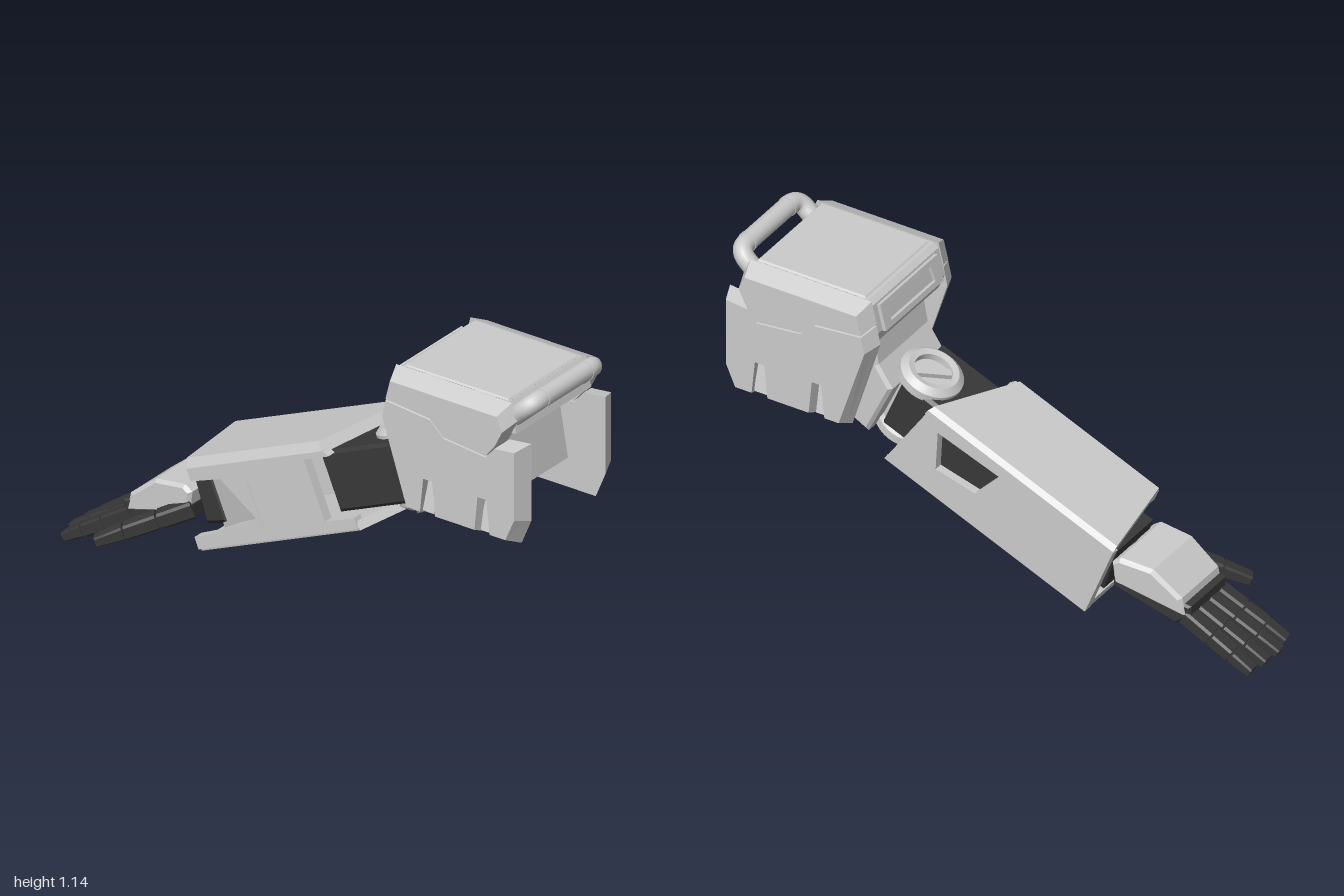
import * as THREE from 'three';

const light = new THREE.MeshStandardMaterial({ color: 0xcccccc });
const lightOpen = new THREE.MeshStandardMaterial({ color: 0xcccccc, side: THREE.DoubleSide });
const dark = new THREE.MeshStandardMaterial({ color: 0x383838 });

function add(parent, name, geo, mat = light, pos = [0, 0, 0]) {
  const m = new THREE.Mesh(geo, mat);
  m.name = name;
  m.position.set(...pos);
  parent.add(m);
  return m;
}
const box = (x, y, z) => new THREE.BoxGeometry(x, y, z);

// Flat prism: outline in xy, extruded from z0 to z1, optional holes and small bevel
function prism(points, z0, z1, holes = [], bevel = 0) {
  const toV = (list) => list.map((p) => new THREE.Vector2(p[0], p[1]));
  const shape = new THREE.Shape(toV(points));
  for (const h of holes) shape.holes.push(new THREE.Path(toV(h)));
  const g = new THREE.ExtrudeGeometry(shape, {
    depth: z1 - z0 - 2 * bevel, bevelEnabled: bevel > 0,
    bevelSize: bevel, bevelThickness: bevel, bevelOffset: -bevel, bevelSegments: 1,
  });
  return g.translate(0, 0, z0 + bevel);
}

// Move every vertex by a rule and refresh the normals
function warp(geo, rule) {
  const p = geo.attributes.position;
  const v = new THREE.Vector3();
  for (let i = 0; i < p.count; i++) {
    v.fromBufferAttribute(p, i);
    rule(v);
    p.setXYZ(i, v.x, v.y, v.z);
  }
  geo.computeVertexNormals();
  return geo;
}

// Mirror a non-indexed geometry in z, reversing its triangles
function mirrorZ(geo) {
  const a = geo.attributes.position.array;
  for (let i = 0; i < a.length; i += 9)
    for (let k = 0; k < 3; k++) [a[i + 3 + k], a[i + 6 + k]] = [a[i + 6 + k], a[i + 3 + k]];
  return warp(geo, (v) => { v.z = -v.z; });
}

function shoulder() {
  const g = new THREE.Group();
  g.name = 'shoulder';
  g.position.z = -0.03;

  // Cap between the side plates
  add(g, 'shoulderCap', prism([[0.42, 0.93], [0.74, 0.93], [0.81, 0.985], [0.92, 1.0], [0.9, 1.08], [0.88, 1.105],
    [0.44, 1.105], [0.42, 1.09], [0.395, 0.99]], -0.212, 0.212));
  add(g, 'capTopPanel', prism([[0.45, -0.2], [0.88, -0.2], [0.88, 0.2], [0.45, 0.2]], 0, 0.012, [], 0.006)
    .rotateX(-Math.PI / 2), light, [0, 1.1, 0]);

  // Slotted frame on the arm side of the cap
  const slot = add(g, 'capSlotFrame', prism([[-0.18, -0.05], [0.18, -0.05], [0.18, 0.05], [-0.18, 0.05]],
    0, 0.03, [[[-0.14, -0.03], [-0.13, 0.03], [0.13, 0.03], [0.14, -0.03]]]).rotateY(-Math.PI / 2),
  light, [0.422, 1.03, 0]);
  slot.rotation.z = -0.25;

  // Side plates: a full inner layer and a notched outer layer
  const seam = [[0.4, 1.02], [0.6, 1.0], [0.66, 0.94], [0.85, 0.92], [0.89, 0.97], [0.98, 0.98]];
  const notch = (x) => [[x - 0.034, 0.595], [x - 0.02, 0.74], [x + 0.02, 0.74], [x + 0.034, 0.595]];
  const lower = (...notches) => [[0.385, 0.95], [0.495, 0.595], ...notches.flat(),
    [0.94, 0.595], [0.98, 0.69], ...[...seam].reverse()];
  const upper = [...seam.slice(0, 5).map(([x, y]) => [x, y + 0.007]), [0.925, 1.05], [0.9, 1.11], [0.42, 1.11]];
  const layers = [
    ['lowerPlateInner', lower(), 0.21, 0.232],
    ['lowerPlateOuter', lower(notch(0.59), notch(0.835)), 0.232, 0.275],
    ['upperPlate', upper, 0.21, 0.275],
  ];
  for (const s of [1, -1]) {
    const side = new THREE.Group();
    side.name = s > 0 ? 'frontSidePlates' : 'backSidePlates';
    for (const [name, pts, z0, z1] of layers) {
      // Outlines shrink towards the plate centre going outwards: broad chamfers
      const geo = warp(prism(pts, z0, z1), (v) => {
        const t = (v.z - 0.21) / 0.065;
        v.x = 0.68 + (v.x - 0.68) * (1 - 0.08 * t);
        v.y = 0.85 + (v.y - 0.85) * (1 - 0.12 * t);
      });
      add(side, name, s > 0 ? geo : mirrorZ(geo));
    }
    for (const x of [0.586, 0.83]) {
      const floor = add(side, 'notchFloor', box(0.05, 0.12, 0.02), light, [x, 0.68, s * 0.235]);
      floor.rotation.x = -s * 0.2;
    }
    g.add(side);
  }

  // Tubular carrying handle
  const path = new THREE.CurvePath();
  const V = (x, y, z) => new THREE.Vector3(x, y, z);
  const pts = [V(0.85, 1.01, 0.185), V(0.925, 1.079, 0.185), V(0.962, 1.113, 0.185), V(0.962, 1.113, 0.135)];
  const flip = pts.map((p) => V(p.x, p.y, -p.z));
  path.add(new THREE.LineCurve3(pts[0], pts[1]));
  path.add(new THREE.QuadraticBezierCurve3(pts[1], pts[2], pts[3]));
  path.add(new THREE.LineCurve3(pts[3], flip[3]));
  path.add(new THREE.QuadraticBezierCurve3(flip[3], flip[2], flip[1]));
  path.add(new THREE.LineCurve3(flip[1], flip[0]));
  add(g, 'handleTube', new THREE.TubeGeometry(path, 100, 0.034, 16));
  for (const s of [1, -1])
    add(g, 'handleCollar', new THREE.CylinderGeometry(0.036, 0.036, 0.012, 20).rotateX(Math.PI / 2),
      light, [0.962, 1.113, s * 0.125]);
  return g;
}

// Forearm lies along its own x axis; the group tilts it
function forearm() {
  const g = new THREE.Group();
  g.name = 'forearm';
  g.position.set(-0.1, 0.4, 0);
  g.rotation.z = 0.4;

  // Top and bottom walls: sections swept along the arm, cut obliquely at the elbow
  const wall = (section, wristSlant) => warp(
    prism(section.map(([z, y]) => [-z, y]), -0.38, 0.4).rotateY(Math.PI / 2), (v) => {
      v.x = v.x > 0 ? 0.37 - 0.38 * v.z - 0.2 * v.y : -0.38 + wristSlant * (v.z + 0.22);
    });
  add(g, 'topWall', wall([[0.163, 0.165], [0.14, 0.207], [-0.205, 0.207], [-0.222, 0.19], [-0.222, 0.17], [0.13, 0.165]], 0.16));
  add(g, 'bottomWall', wall([[0.163, -0.085], [0.155, -0.118], [-0.215, -0.118], [-0.222, -0.11], [-0.222, -0.085]], 0));
  // Front wall with a wrist cut and an elbow cut
  add(g, 'frontWall', prism([[-0.385, -0.11], [0.33, -0.11], [0.33, -0.07], [0.2, -0.07], [0.2, 0.155], [0.31, 0.155],
    [0.295, 0.175], [-0.32, 0.175], [-0.32, 0.13], [-0.19, 0.125], [-0.09, -0.03], [-0.29, -0.06], [-0.385, -0.065]],
  0.125, 0.163));
  const scoop = add(g, 'scoopFloor', box(0.25, 0.21, 0.02), light, [-0.19, 0.03, 0.115]);
  scoop.rotation.y = -0.32;
  // Back wall with a window
  add(g, 'backWall', prism([[-0.385, -0.11], [0.475, -0.11], [0.415, 0.18], [-0.38, 0.18]], -0.222, -0.188,
    [[[0.09, 0.145], [0.35, 0.135], [0.3, -0.005], [0.14, 0.015]]]));
  add(g, 'windowBacking', box(0.3, 0.2, 0.02), dark, [0.21, 0.06, -0.18]);

  // Elbow block and pivot
  add(g, 'elbowBlock', prism([[0.23, -0.06], [0.56, -0.06], [0.56, 0.16], [0.23, 0.16]], -0.15, 0.115, [], 0.012), dark);
  const pivot = new THREE.Group();
  pivot.name = 'elbowPivot';
  pivot.position.set(0.51, 0.042, -0.045);
  add(pivot, 'pivotCore', new THREE.CylinderGeometry(0.1, 0.1, 0.24, 32));
  for (const s of [1, -1]) {
    const cap = new THREE.Group();
    cap.name = 'pivotCap';
    if (s < 0) cap.rotation.x = Math.PI;
    const ring = [[0.068, 0.12], [0.068, 0.145], [0.09, 0.15], [0.113, 0.13], [0.113, 0.1], [0.1, 0.085]];
    for (let i = 0; i < ring.length - 1; i++) // separate bands keep the edges sharp
      add(cap, 'pivotRing', new THREE.LatheGeometry([ring[i + 1], ring[i]].map((p) => new THREE.Vector2(...p)), 32), lightOpen);
    const bar = add(cap, 'pivotBar', box(0.138, 0.018, 0.03), light, [0, 0.129, 0]);
    bar.rotation.y = 0.8;
    pivot.add(cap);
  }
  g.add(pivot);

  // Wrist joint inside the open end
  add(g, 'wristJoint', prism([[-0.385, -0.05], [-0.27, -0.06], [-0.27, 0.13], [-0.37, 0.13]], -0.16, 0.1, [], 0.02), dark);
  add(g, 'wristPin', new THREE.CylinderGeometry(0.065, 0.065, 0.14, 16).rotateZ(Math.PI / 2), dark, [-0.41, 0.03, -0.02]);
  return g;
}

// Chain of slightly tapered blocks from a to b
function digit(name, a, b, width, thick, lengths) {
  const g = new THREE.Group();
  g.name = name;
  g.position.set(...a);
  g.lookAt(...b);
  const total = new THREE.Vector3(...a).distanceTo(new THREE.Vector3(...b));
  let t = 0;
  lengths.forEach((f, i) => {
    const len = f * total;
    const w = width * (1 - 0.03 * i), h = thick * (1 - 0.1 * i);
    const tip = i === lengths.length - 1 ? 0.72 : 0.95;
    const c = 0.14;
    const oct = [[-0.5, -0.5 + c], [-0.5 + c, -0.5], [0.5 - c, -0.5], [0.5, -0.5 + c],
      [0.5, 0.5 - c], [0.5 - c, 0.5], [-0.5 + c, 0.5], [-0.5, 0.5 - c]].map(([x, y]) => [x * w, y * h]);
    add(g, 'segment', warp(prism(oct, 0, len - 0.008), (v) => {
      if (v.z > len / 2) { v.x *= (1 + tip) / 2; v.y *= tip; }
    }), dark, [0, 0, t]);
    if (i) add(g, 'knuckle', new THREE.CylinderGeometry(h * 0.36, h * 0.36, w * 0.8, 10).rotateZ(Math.PI / 2), dark, [0, 0, t]);
    t += len;
  });
  return g;
}

function hand() {
  const g = new THREE.Group();
  g.name = 'hand';
  // Pale shell over a dark palm, both narrowing slightly towards the fingers
  const narrow = (v) => { if (v.z < 0) v.z *= 1 + (v.x + 0.75) * 1.3; };
  add(g, 'backOfHand', warp(prism([[-0.74, 0.18], [-0.48, 0.25], [-0.47, 0.33], [-0.5, 0.35], [-0.62, 0.335], [-0.725, 0.25]],
    -0.115, 0.13, [], 0.012), narrow));
  add(g, 'palm', warp(prism([[-0.755, 0.185], [-0.7, 0.14], [-0.47, 0.23], [-0.47, 0.28], [-0.73, 0.225], [-0.755, 0.22]],
    -0.105, 0.125, [], 0.008), narrow), dark);
  const base = [0.105, 0.043, -0.02, -0.083], tip = [0.15, 0.078, 0.004, -0.068];
  const reach = [-0.98, -1.0, -0.995, -0.985];
  for (let i = 0; i < 4; i++)
    g.add(digit('finger', [-0.725, 0.172, base[i]], [reach[i], 0.022, tip[i]], 0.06, 0.058, [0.4, 0.3, 0.3]));
  g.add(digit('thumb', [-0.475, 0.265, 0.105], [-0.762, 0.122, 0.278], 0.062, 0.062, [0.36, 0.34, 0.3]));
  return g;
}

export function createModel() {
  const model = new THREE.Group();
  model.name = 'mechanicalArm';
  model.add(shoulder(), forearm(), hand());
  // Upper arm block hanging under the shoulder cap
  add(model, 'upperArm', prism([[0.375, 0.74], [0.47, 0.54], [0.56, 0.59], [0.87, 0.745], [0.83, 0.98], [0.46, 0.98], [0.43, 0.82]],
    -0.19, 0.14, [], 0.012));
  return model;
}
